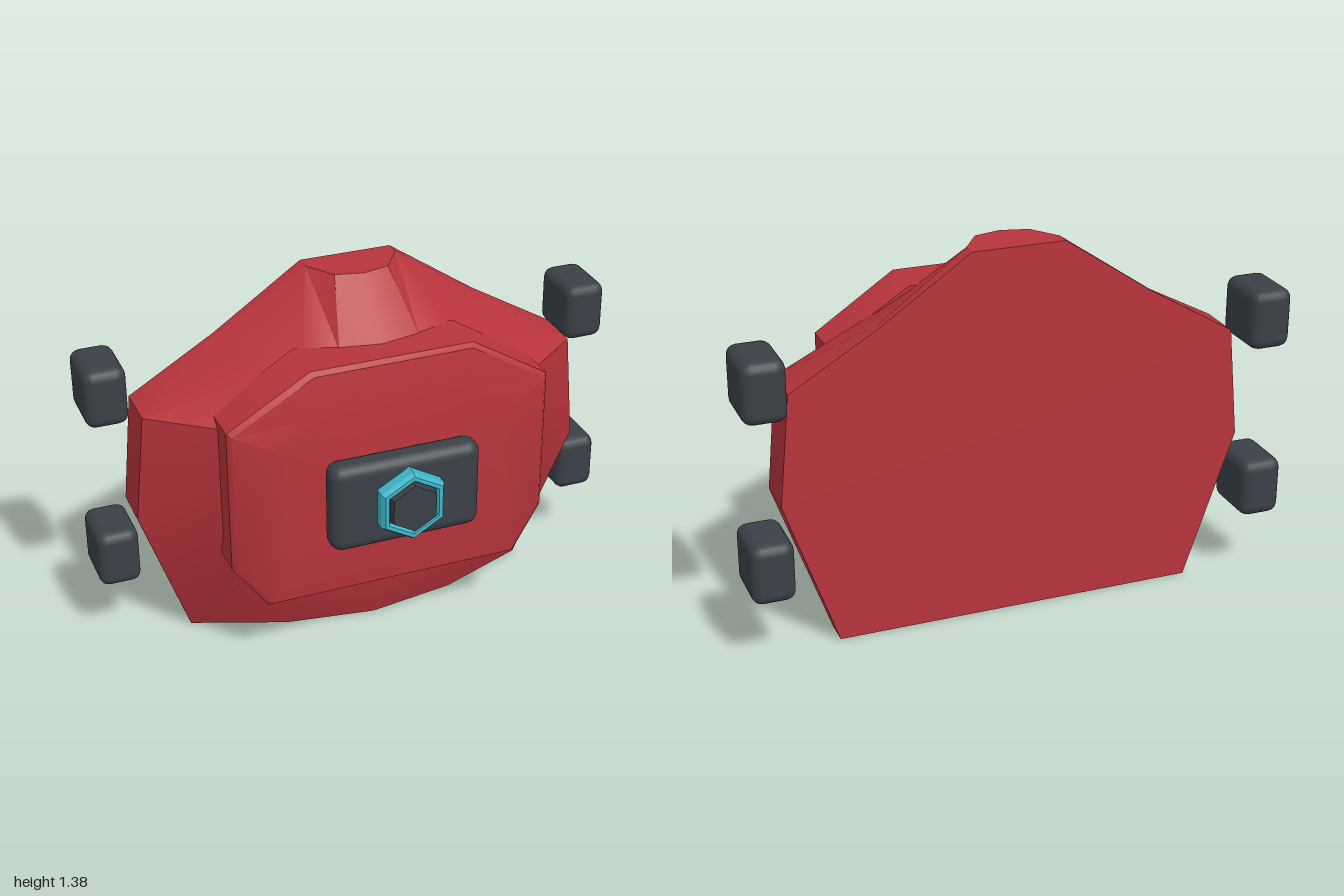
import * as THREE from 'three';
import { toCreasedNormals } from 'three/addons/utils/BufferGeometryUtils.js';
import { RoundedBoxGeometry } from 'three/addons/geometries/RoundedBoxGeometry.js';

// Complete a right-hand half loop (bottom to top) with its mirror image.
function mirrorLoop(half) {
  const left = half.filter(p => p[0] > 0).map(([x, y, z]) => [-x, y, z]).reverse();
  return [...half, ...left];
}

// Skin a series of loops from back to front and cap both ends.
function loft(halfLoops, capY, backZ, frontZ, crease) {
  const loops = halfLoops.map(mirrorLoop);
  const n = loops[0].length;
  const pos = [];
  const tri = (...pts) => pts.forEach(p => pos.push(...p));
  const back = [0, capY, backZ], front = [0, capY, frontZ];
  for (let i = 0; i < n; i++) {
    const j = (i + 1) % n;
    for (let k = 0; k + 1 < loops.length; k++) {
      const a = loops[k][i], b = loops[k][j], c = loops[k + 1][j], d = loops[k + 1][i];
      if (a[0] + b[0] >= 0) { tri(a, b, c); tri(a, c, d); }
      else { tri(a, b, d); tri(b, c, d); }
    }
    tri(loops[0][j], loops[0][i], back);
    const last = loops[loops.length - 1];
    tri(last[i], last[j], front);
  }
  const g = new THREE.BufferGeometry();
  g.setAttribute('position', new THREE.Float32BufferAttribute(pos, 3));
  return toCreasedNormals(g, crease);
}

export function createModel() {
  const group = new THREE.Group();
  const material = (name, color) => {
    const m = new THREE.MeshStandardMaterial({ color });
    m.name = name;
    return m;
  };
  const red = material('red', 0xb8343c);
  const dark = material('dark grey', 0x3a4046);
  const cyan = material('cyan', 0x3fb8cb);

  const add = (name, geometry, mat, x = 0, y = 0, z = 0) => {
    const mesh = new THREE.Mesh(geometry, mat);
    mesh.name = name;
    mesh.position.set(x, y, z);
    group.add(mesh);
    return mesh;
  };

  // Body: flat back, bowed rim, faceted slopes rising to the front plate
  const outline = [[0, 0], [0.33, 0], [0.67, 0], [0.86, 0.55], [0.82, 0.96],
    [0.5, 1.15], [0.17, 1.375], [0.1, 1.375], [0, 1.375]];
  const rimZ = [0, -0.05, -0.18, -0.11, -0.1, -0.25, -0.22, -0.115, -0.09];
  const inner = [[0, 0.29, 0.1], [0.26, 0.29, 0.08], [0.48, 0.3, 0.04], [0.59, 0.53, 0.08],
    [0.59, 0.96, 0.075], [0.4, 1.1, 0.025], [0.27, 1.17, 0.025], [0.15, 1.17, 0.06], [0, 1.18, 0.08]];
  add('body', loft([
    outline.map(([x, y]) => [x, y, -0.275]),
    outline.map(([x, y], i) => [x, y, rimZ[i]]),
    inner,
  ], 0.7, -0.275, 0.1, 0.5), red);

  // Front plate: chamfered panel sloping up to a flat middle
  const plate = [[0.48, 0.28, 0.21], [0.6, 0.44, 0.18], [0.6, 0.99, 0.18], [0.3, 1.18, 0.2]];
  add('frontPlate', loft([
    plate.map(([x, y]) => [x, y, 0]),
    plate.map(([x, y, z]) => [x, y, z - 0.018]),
    plate.map(([x, y, z]) => [x * 0.975, 0.7 + (y - 0.7) * 0.97, z]),
    [[0.36, 0.42, 0.23], [0.41, 0.5, 0.23], [0.41, 0.9, 0.23], [0.26, 1.02, 0.23]],
  ], 0.7, 0, 0.23, 0.6), red);

  // Central mount with a hexagonal ring and core
  add('mount', new RoundedBoxGeometry(0.56, 0.34, 0.105, 3, 0.045), dark, 0, 0.69, 0.278);
  const ringProfile = [[0.135, 0.31], [0.135, 0.37], [0.124, 0.385], [0.108, 0.385], [0.1, 0.37]]
    .map(([r, h]) => new THREE.Vector2(r, h));
  const ring = new THREE.LatheGeometry(ringProfile, 6).rotateX(Math.PI / 2);
  add('hexRing', toCreasedNormals(ring, 0.3), cyan, 0, 0.69, 0);
  const core = new THREE.CylinderGeometry(0.092, 0.102, 0.085, 6).rotateX(Math.PI / 2);
  add('hexCore', toCreasedNormals(core, 0.3), dark, 0, 0.69, 0.351);

  // Four corner pads, standing free of the body
  for (const side of [1, -1]) {
    for (const [level, y] of [['upper', 1.02], ['lower', 0.36]]) {
      add(`${level}${side > 0 ? 'Left' : 'Right'}Pad`,
        new RoundedBoxGeometry(0.155, 0.22, 0.235, 2, 0.037), dark, side * 0.9225, y, -0.275);
    }
  }
  return group;
}
